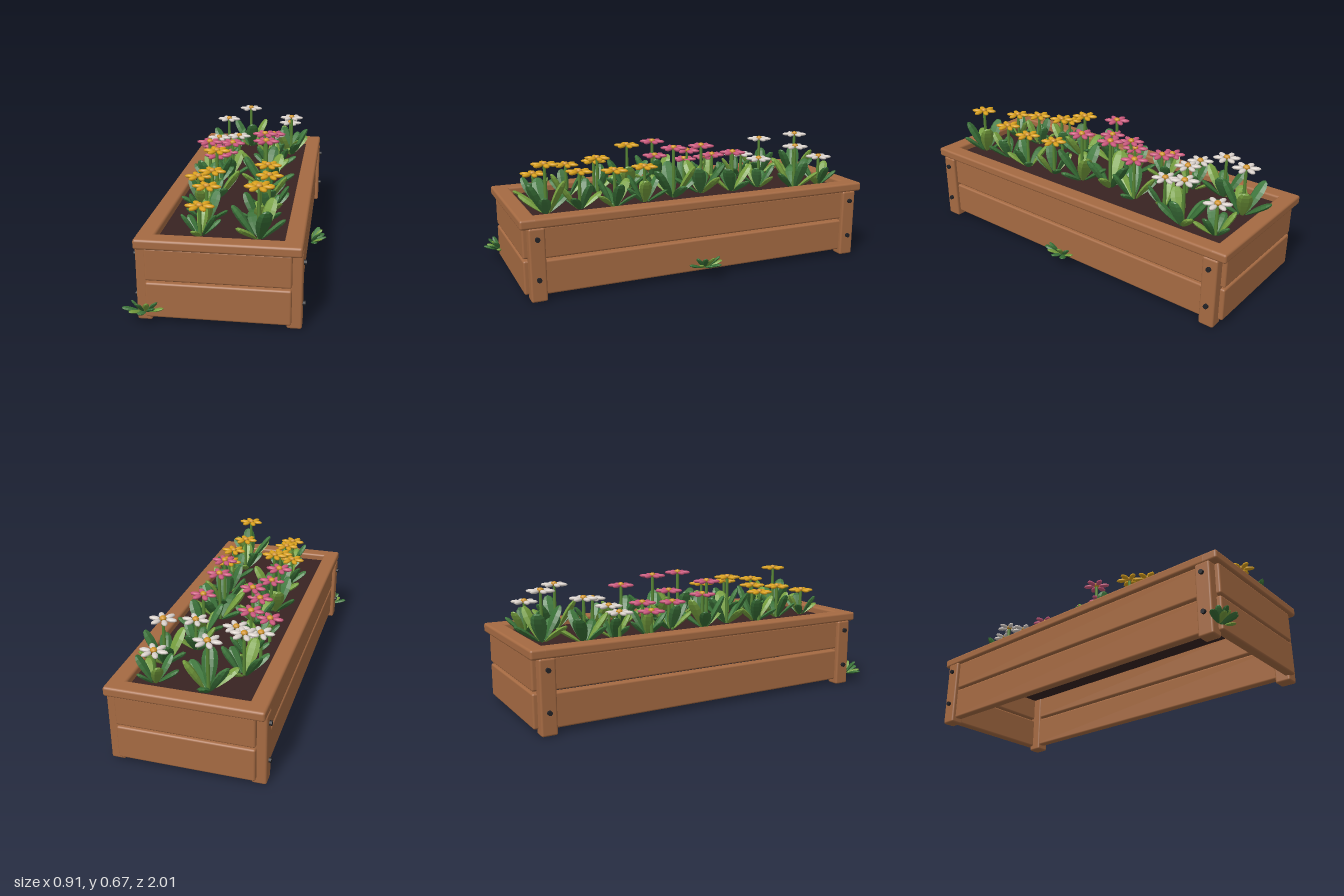
import * as THREE from 'three';
import { RoundedBoxGeometry } from 'three/addons/geometries/RoundedBoxGeometry.js';

const mat = (color, flatShading = false) => new THREE.MeshStandardMaterial({ color, flatShading });
const wood = mat(0xa56a42), soilMat = mat(0x382322), metal = mat(0x222226);
const stemMat = mat(0x568534), core = mat(0xd2952a);
const greens = [mat(0x386f36, true), mat(0x417a3f, true), mat(0x769f3e, true)];
const white = mat(0xd8d0ca), pink = mat(0xc9587c), yellow = mat(0xd9a01c);

// Small seeded generator
let seed = 7;
const rand = (a, b) => {
  seed = (seed * 16807) % 2147483647;
  return a + (b - a) * (seed / 2147483647);
};

function add(parent, name, geometry, material, x = 0, y = 0, z = 0) {
  const mesh = new THREE.Mesh(geometry, material);
  mesh.name = name;
  mesh.position.set(x, y, z);
  parent.add(mesh);
  return mesh;
}

const board = (parent, name, w, h, d, x, y, z, r = 0.01) =>
  add(parent, name, new RoundedBoxGeometry(w, h, d, 2, r), wood, x, y, z);

// Unit leaf: base at the origin, growing along +y, widest past the middle, slightly curled
function makeLeaf() {
  const g = new THREE.SphereGeometry(0.5, 6, 8);
  g.translate(0, 0.5, 0);
  const p = g.attributes.position;
  for (let i = 0; i < p.count; i++) {
    const y = p.getY(i);
    const k = 0.55 + 0.75 * y;
    p.setXYZ(i, p.getX(i) * 0.4 * k, y, p.getZ(i) * 0.17 * k + 0.05 * y * y);
  }
  g.computeVertexNormals();
  return g;
}
const leafGeo = makeLeaf();
const petalGeo = new THREE.SphereGeometry(1, 8, 6).scale(0.015, 0.01, 0.029);
const coreGeo = new THREE.SphereGeometry(1, 10, 6).scale(0.017, 0.013, 0.017);

function addLeaf(parent, length, tilt, turn, x, y, z, i) {
  const leaf = add(parent, 'leaf', leafGeo, greens[i % 3], x, y, z);
  leaf.scale.setScalar(length);
  leaf.rotation.set(tilt, turn, 0, 'YXZ');
}

function addFlower(parent, x, y, z, material) {
  const flower = new THREE.Group();
  flower.name = 'flower';
  flower.position.set(x, y, z);
  for (let i = 0; i < 6; i++) {
    const a = (i / 6) * Math.PI * 2 + Math.PI / 6;
    const petal = add(flower, 'petal', petalGeo, material, Math.sin(a) * 0.043, 0, Math.cos(a) * 0.043);
    petal.rotation.y = a;
  }
  add(flower, 'flowerCentre', coreGeo, core, 0, 0.005, 0);
  parent.add(flower);
  const h = y - 0.345;
  add(parent, 'stem', new THREE.CylinderGeometry(0.008, 0.01, h, 8), stemMat, x, y - h / 2, z);
}

// A plant: one or two [x, y] flower heads above upright inner and spreading outer leaves
function addPlant(parent, z, heads, material) {
  const plant = new THREE.Group();
  plant.name = 'plant';
  let cx = 0, top = 0;
  for (const [x, y] of heads) {
    addFlower(plant, x, y, z, material);
    cx += x / heads.length;
    top = Math.max(top, y);
  }
  const length = 0.145 + (top - 0.54) * 0.55, start = rand(0, 6.28);
  for (let i = 0; i < 6; i++) {
    const turn = start + (i / 6) * Math.PI * 2 + rand(-0.25, 0.25);
    const tilt = i % 2 ? rand(0.75, 0.95) : rand(0.4, 0.6);
    addLeaf(plant, length * (i % 2 ? 0.82 : 1), tilt, turn,
      cx + Math.sin(turn) * 0.015, 0.38, z + Math.cos(turn) * 0.015, i);
  }
  parent.add(plant);
}

// A fan of small leaves growing out of a wall that faces the given direction
function addTuft(parent, x, y, z, facing) {
  const tuft = new THREE.Group();
  tuft.name = 'sideTuft';
  tuft.position.set(x, y, z);
  tuft.rotation.y = facing;
  for (let i = 0; i < 9; i++) {
    const turn = -1.3 + (i / 8) * 2.6;
    addLeaf(tuft, rand(0.075, 0.095), i % 2 ? rand(0.55, 0.75) : rand(0.95, 1.25), turn,
      Math.sin(turn) * 0.015, 0, 0, i);
  }
  parent.add(tuft);
}

export function createModel() {
  seed = 7;
  const model = new THREE.Group();
  model.name = 'flowerPlanter';

  // Wooden box, centred on its own origin
  const box = new THREE.Group();
  box.name = 'planterBox';
  box.position.set(-0.0185, 0, -0.0235);
  model.add(box);

  for (const s of [-1, 1]) {
    for (const [y, h] of [[0.114, 0.174], [0.291, 0.16]]) {
      board(box, 'sidePlank', 0.045, h, 1.82, s * 0.34, y, 0);
      board(box, 'endPlank', 0.671, h, 0.05, 0, y, s * 0.932);
    }
    board(box, 'sideRim', 0.087, 0.049, 1.82, s * 0.338, 0.3925, 0, 0.012);
    board(box, 'endRim', 0.762, 0.049, 0.086, 0, 0.3925, s * 0.93, 0.012);

    // Corner legs with a bolt above and below
    for (const e of [-1, 1]) {
      board(box, 'leg', 0.071, 0.372, 0.081, s * 0.3475, 0.186, e * 0.8935);
      for (const y of [0.115, 0.318]) {
        const bolt = add(box, 'bolt', new THREE.CylinderGeometry(0.012, 0.012, 0.03, 12), metal,
          s * 0.381, y, e * 0.8935);
        bolt.rotation.z = Math.PI / 2;
      }
    }
  }
  add(box, 'soil', new THREE.BoxGeometry(0.64, 0.04, 1.83), soilMat, 0, 0.36, 0);

  // Two rows of plants, from back to front
  const rows = [
    [-0.83, white, [[-0.09, 0.635]], [[0.17, 0.545]]],
    [-0.655, white, [[-0.21, 0.6]], [[0.19, 0.62]]],
    [-0.48, white, [[-0.245, 0.52], [-0.12, 0.535]], [[0.09, 0.545]]],
    [-0.30, pink, [[-0.245, 0.51], [-0.145, 0.54]], [[0.11, 0.6]]],
    [-0.12, pink, [[-0.145, 0.53], [-0.105, 0.585]], [[0.08, 0.645]]],
    [0.055, pink, [[-0.205, 0.635], [-0.165, 0.56]], [[0.105, 0.65]]],
    [0.235, yellow, [[-0.135, 0.638]], [[0.135, 0.57]]],
    [0.41, yellow, [[-0.2, 0.55], [-0.13, 0.58]], [[0.16, 0.57]]],
    [0.59, yellow, [[-0.125, 0.56]], [[0.135, 0.575]]],
    [0.77, yellow, [[-0.125, 0.525]], [[0.15, 0.63]]],
  ];
  for (const [z, color, left, right] of rows) {
    addPlant(model, z, left, color);
    addPlant(model, z, right, color);
  }

  // Tufts sprouting from the outside of the box
  addTuft(model, 0.365, 0.05, -0.015, Math.PI / 2);
  addTuft(model, -0.362, 0.05, 0.925, 0);
  return model;
}
